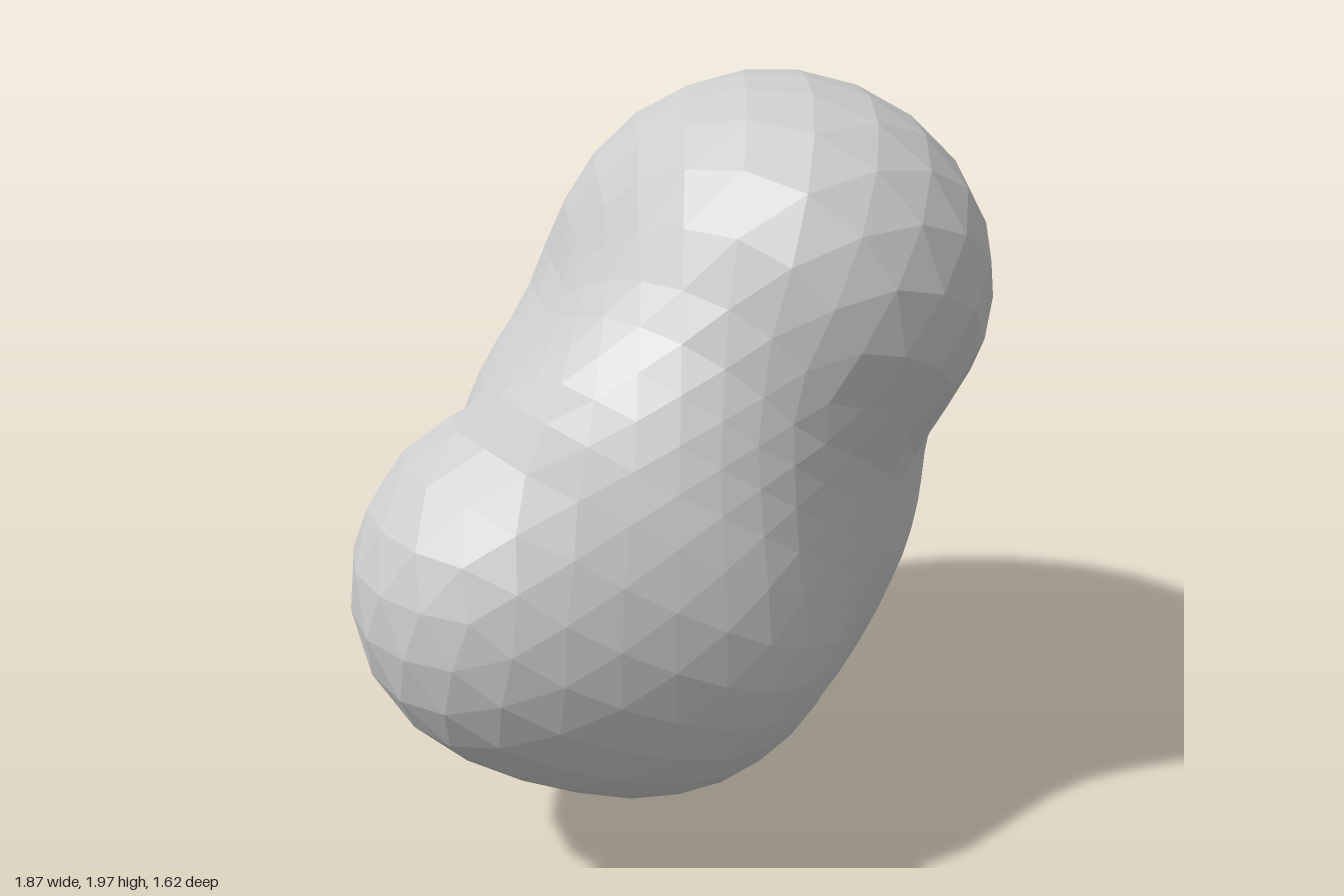
import * as THREE from 'three';

// Overlapping balls along the curved body: x, y, z, radius
const BALLS = [
  [0.29, 1.47, 0.29, 0.475],   // upper lobe, front
  [0.34, 1.43, 0.03, 0.55],    // upper lobe, middle
  [0.37, 1.30, -0.15, 0.55],   // upper lobe, back
  [0.36, 1.10, -0.25, 0.545],  // back
  [0.33, 0.85, -0.24, 0.555],  // lower back
  [0.30, 0.64, -0.25, 0.53],   // heel
  [0.17, 0.605, -0.15, 0.59],  // bottom
  [-0.05, 0.64, 0.03, 0.585],  // lower middle
  [-0.19, 0.72, 0.28, 0.525],  // lower lobe, front
  [-0.465, 0.80, 0.27, 0.47],  // lower lobe, tip
  [0.02, 1.10, 0.22, 0.47],    // ridge joining the lobes
  [0.23, 0.90, 0.05, 0.52],    // filling of the front hollow
  [0.02, 0.96, -0.12, 0.47],   // filling of the rear hollow
];
const BLEND = 0.14;

function smoothMin(a, b) {
  const h = Math.max(BLEND - Math.abs(a - b), 0) / BLEND;
  return Math.min(a, b) - h * h * BLEND * 0.25;
}

// Distance to the blended balls
function distance(p) {
  return BALLS
    .map(([x, y, z, r]) => Math.hypot(p.x - x, p.y - y, p.z - z) - r)
    .reduce((a, b) => smoothMin(a, b));
}

export function createModel() {
  const group = new THREE.Group();
  group.name = 'blob';

  // Shrink a faceted sphere inwards until every corner meets the blended surface
  const geometry = new THREE.IcosahedronGeometry(1, 7);
  const pos = geometry.attributes.position;
  const centre = new THREE.Vector3(0.08, 0.9, 0.05);
  const dir = new THREE.Vector3();
  const p = new THREE.Vector3();
  for (let i = 0; i < pos.count; i++) {
    dir.fromBufferAttribute(pos, i).normalize();
    let t = 2;
    for (let step = 0; step < 80; step++) {
      const d = distance(p.copy(centre).addScaledVector(dir, t));
      t -= d;
      if (Math.abs(d) < 0.0005) break;
    }
    p.copy(centre).addScaledVector(dir, t);
    pos.setXYZ(i, p.x, p.y, p.z);
  }
  geometry.computeVertexNormals();

  const body = new THREE.Mesh(
    geometry,
    new THREE.MeshStandardMaterial({ color: 0xcccccc, flatShading: true })
  );
  body.name = 'body';
  group.add(body);
  return group;
}
